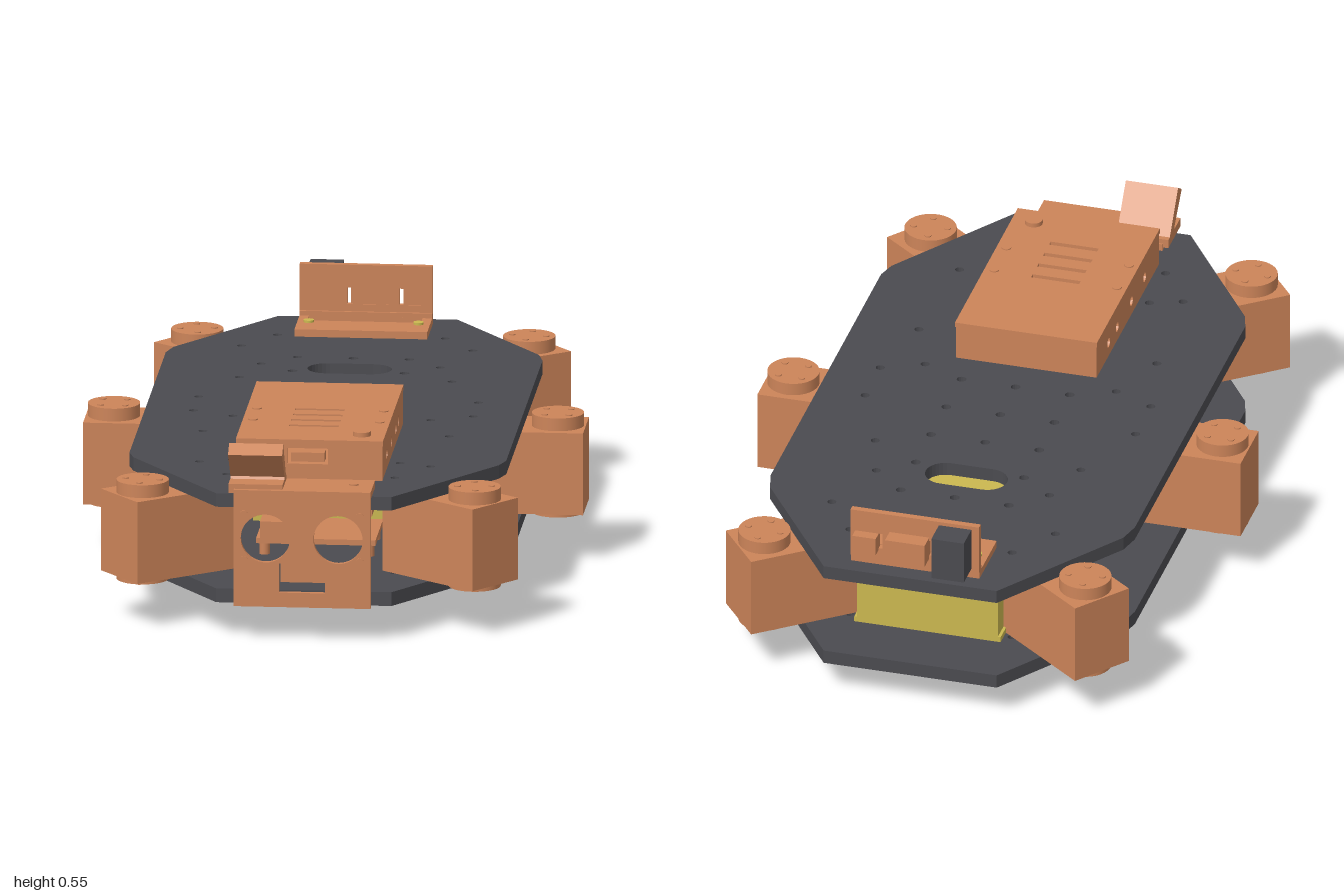
import * as THREE from 'three';

const mat = (name, color) => {
  const m = new THREE.MeshStandardMaterial({ color });
  m.name = name;
  return m;
};

export function createModel() {
  const root = new THREE.Group();
  root.name = 'sixLeggedRobotChassis';
  const copper = mat('copper', 0xcc8459);
  const charcoal = mat('charcoal', 0x4b4b50);
  const yellow = mat('batteryYellow', 0xcbb850);

  const add = (geo, material, name, parent = root) => {
    const m = new THREE.Mesh(geo, material);
    m.name = name;
    parent.add(m);
    return m;
  };
  // box from its minimum and maximum on each axis
  const box = (name, material, x0, x1, y0, y1, z0, z1, parent) => {
    const m = add(new THREE.BoxGeometry(x1 - x0, y1 - y0, z1 - z0), material, name, parent);
    m.position.set((x0 + x1) / 2, (y0 + y1) / 2, (z0 + z1) / 2);
    return m;
  };
  const cyl = (name, material, r, x, y0, y1, z, parent, sides = 24) => {
    const m = add(new THREE.CylinderGeometry(r, r, y1 - y0, sides), material, name, parent);
    m.position.set(x, (y0 + y1) / 2, z);
    return m;
  };
  const poly = pts => new THREE.Shape(pts.map(p => new THREE.Vector2(...p)));
  const rect = (x0, x1, y0, y1) => poly([[x0, y0], [x1, y0], [x1, y1], [x0, y1]]);
  const circle = (x, y, r) => {
    const p = new THREE.Path();
    p.absarc(x, y, r, 0, Math.PI * 2, true);
    return p;
  };
  const extrude = (shape, depth, curveSegments = 8) =>
    new THREE.ExtrudeGeometry(shape, { depth, bevelEnabled: false, curveSegments });
  // outline in x and z, laid flat between two heights
  const slab = (name, material, shape, y0, y1, parent) => {
    const g = extrude(shape, y1 - y0);
    g.rotateX(Math.PI / 2);
    g.translate(0, y1, 0);
    return add(g, material, name, parent);
  };

  // deck plates with drilled holes
  const side = [[0.24, -0.97], [0.49, -0.61], [0.505, -0.55], [0.505, 0.54], [0.49, 0.59], [0.235, 0.96]];
  const outline = [...side, ...side.slice().reverse().map(([x, z]) => [-x, z])];
  const mounts = [[0.225, -0.765], [0.31, -0.64], [0.375, -0.08], [0.375, 0.07], [0.31, 0.62], [0.225, 0.75],
    [0.24, -0.45], [0.33, 0.29], [0.285, -0.3], [0.225, 0.59], [0.265, 0.12]];
  const deck = top => {
    const s = poly(outline);
    for (const [x, z] of mounts) for (const k of [-1, 1]) s.holes.push(circle(k * x, z, 0.012));
    if (top) {
      for (const z of [-0.53, -0.38, -0.23, -0.08, 0.07])
        for (const x of [-0.15, 0, 0.15]) if (x || z !== -0.38) s.holes.push(circle(x, z, 0.013));
      const slot = new THREE.Path();
      slot.absarc(0.058, -0.415, 0.055, -Math.PI / 2, Math.PI / 2, false);
      slot.absarc(-0.058, -0.415, 0.055, Math.PI / 2, Math.PI * 1.5, false);
      s.holes.push(slot);
    }
    return s;
  };
  slab('bottomDeck', charcoal, deck(false), 0.092, 0.13);
  slab('topDeck', charcoal, deck(true), 0.355, 0.392);

  // deck spacers
  for (const k of [-1, 1])
    for (const [x, z] of [[0.33, 0.295], [0.24, -0.45]]) cyl('deckSpacer', charcoal, 0.033, k * x, 0.13, 0.355, z);

  // six leg servos, each built with its output face toward +x
  const servo = (x, z, angle) => {
    const g = new THREE.Group();
    g.name = 'legServo';
    g.position.set(x, 0, z);
    g.rotation.y = angle;
    box('servoBody', copper, -0.255, 0.075, 0.13, 0.355, -0.089, 0.089, g);
    cyl('servoHorn', copper, 0.07, 0, 0.355, 0.39, 0, g, 32);
    cyl('servoLowerDisc', copper, 0.07, 0, 0.117, 0.13, 0, g, 32);
    cyl('lowerHub', copper, 0.02, 0, 0.109, 0.117, 0, g, 16);
    for (let i = 0; i < 4; i++) {
      const a = Math.PI * (i / 2 + 0.25);
      const px = 0.046 * Math.cos(a), pz = 0.046 * Math.sin(a);
      cyl('hornScrew', copper, 0.009, px, 0.39, 0.393, pz, g, 10);
      cyl('lowerScrew', copper, 0.009, px, 0.112, 0.117, pz, g, 10);
    }
    root.add(g);
  };
  const tilt = 0.665;
  servo(0.595, -0.005, 0);
  servo(-0.595, -0.005, Math.PI);
  for (const [z, s] of [[0.815, -1], [-0.825, 1]]) {
    servo(0.445, z, s * tilt);
    servo(-0.445, z, Math.PI - s * tilt);
  }

  // battery
  box('batteryLower', yellow, -0.195, 0.195, 0.13, 0.25, -0.8, 0.22);
  box('batteryUpper', yellow, -0.18, 0.18, 0.25, 0.327, -0.79, 0.195);
  for (const k of [-1, 1])
    box('batteryRib', yellow, k * 0.195 - 0.008, k * 0.195 + 0.008, 0.13, 0.145, -0.8, 0.22);

  // electronics between the decks
  box('hangingBoard', copper, -0.16, 0.16, 0.315, 0.338, 0.37, 0.6);
  box('boardChip', copper, -0.12, -0.04, 0.285, 0.315, 0.39, 0.52);
  box('boardSocket', copper, 0.09, 0.15, 0.245, 0.315, 0.53, 0.6);
  box('lowerBoard', copper, -0.16, 0.16, 0.165, 0.18, 0.37, 0.6);
  box('lowerModule', copper, -0.15, -0.02, 0.18, 0.225, 0.42, 0.6);
  for (const k of [-1, 1]) {
    for (const z of [0.39, 0.57]) cyl('boardPost', copper, 0.014, k * 0.14, 0.13, 0.165, z);
    box('wireClip', copper, k * 0.27 - 0.02, k * 0.27 + 0.02, 0.13, 0.21, 0.27, 0.34);
    box('sideRegulator', copper, k * 0.26 - 0.02, k * 0.26 + 0.02, 0.13, 0.25, -0.175, -0.09);
  }

  // controller case: vented lid, drilled side walls, socket in the front wall
  const lid = rect(-0.197, 0.197, 0.172, 0.793);
  for (const z of [0.463, 0.522, 0.58, 0.64]) lid.holes.push(rect(-0.068, 0.065, z - 0.008, z + 0.008));
  slab('caseLid', copper, lid, 0.488, 0.502);
  box('caseFloor', copper, -0.185, 0.185, 0.392, 0.4, 0.185, 0.78);
  box('caseRearWall', copper, -0.195, 0.195, 0.392, 0.488, 0.175, 0.189);
  const front = rect(-0.195, 0.195, 0.392, 0.488);
  front.holes.push(rect(-0.06, 0.05, 0.435, 0.478));
  add(extrude(front, 0.014), copper, 'caseFrontWall').position.z = 0.776;
  box('casePort', copper, -0.05, 0.04, 0.44, 0.465, 0.74, 0.786);
  const wall = rect(-0.776, -0.189, 0.392, 0.488);
  for (const z of [0.65, 0.52, 0.38, 0.295]) wall.holes.push(circle(-z, 0.433, 0.014));
  for (const x of [-0.195, 0.181]) {
    const m = add(extrude(wall, 0.014), copper, 'caseSideWall');
    m.rotation.y = Math.PI / 2;
    m.position.x = x;
  }
  for (const [x, z] of [[-0.17, 0.465], [0.17, 0.465], [-0.17, 0.585], [0.17, 0.585]])
    cyl('lidScrew', copper, 0.013, x, 0.502, 0.505, z);
  cyl('powerButton', copper, 0.024, 0.135, 0.502, 0.514, 0.73);

  // front sensor panel with two eye openings
  const panel = rect(-0.185, 0.182, 0.092, 0.412);
  for (const x of [-0.1, 0.095]) panel.holes.push(circle(x, 0.28, 0.066));
  panel.holes.push(rect(-0.063, 0.06, 0.132, 0.212));
  add(extrude(panel, 0.014, 20), copper, 'sensorPanel').position.z = 0.984;
  box('panelTab', copper, -0.06, 0.06, 0.158, 0.212, 0.972, 0.986);
  for (const x of [-0.158, 0.153]) for (const y of [0.22, 0.345]) {
    const m = cyl('panelScrew', copper, 0.011, x, y - 0.002, y + 0.002, 0.999);
    m.rotation.x = Math.PI / 2;
  }
  box('sensorShelf', copper, -0.185, 0.182, 0.392, 0.412, 0.86, 0.984);
  cyl('shelfScrew', copper, 0.013, 0.13, 0.412, 0.416, 0.915);

  // tilted camera holder on the shelf
  const holder = poly([[-0.87, 0.412], [-0.935, 0.412], [-0.925, 0.432], [-0.998, 0.508], [-0.962, 0.532]].reverse());
  const cam = add(extrude(holder, 0.145), copper, 'cameraHolder');
  cam.geometry.rotateY(Math.PI / 2);
  cam.position.x = -0.2;
  box('cameraFoot', copper, -0.2, -0.055, 0.4, 0.425, 0.865, 0.985);

  // rear display bracket
  const base = rect(-0.178, 0.178, -0.92, -0.75);
  base.holes.push(rect(-0.152, 0.152, -0.9, -0.85));
  slab('rearBracketBase', copper, base, 0.392, 0.412);
  const back = rect(-0.178, 0.178, 0.412, 0.553);
  back.holes.push(rect(-0.05, 0.06, 0.445, 0.49), rect(0.09, 0.15, 0.445, 0.49));
  add(extrude(back, 0.018), copper, 'rearPanel').position.z = -0.925;
  box('rearPanelLip', copper, -0.178, 0.178, 0.412, 0.425, -0.907, -0.9);
  box('rearConnector', copper, -0.04, 0.07, 0.435, 0.5, -0.97, -0.91);
  box('rearSwitch', copper, 0.1, 0.165, 0.44, 0.49, -0.955, -0.91);
  box('rearPlugBlock', charcoal, -0.157, -0.067, 0.422, 0.543, -1.0, -0.92);
  for (const x of [-0.147, 0.147]) cyl('bracketStud', yellow, 0.014, x, 0.412, 0.418, -0.835);

  // box under the lower deck with cut corners and corner screws
  const [x0, x1, z0, z1, c] = [-0.063, 0.252, -0.375, -0.105, 0.035];
  slab('underBox', copper, poly([[x0 + c, z0], [x1 - c, z0], [x1, z0 + c], [x1, z1 - c],
    [x1 - c, z1], [x0 + c, z1], [x0, z1 - c], [x0, z0 + c]]), 0.004, 0.092);
  for (const x of [x0 + 0.032, x1 - 0.032]) for (const z of [z0 + 0.032, z1 - 0.032])
    cyl('underBoxCorner', copper, 0.031, x, 0, 0.092, z);

  return root;
}
